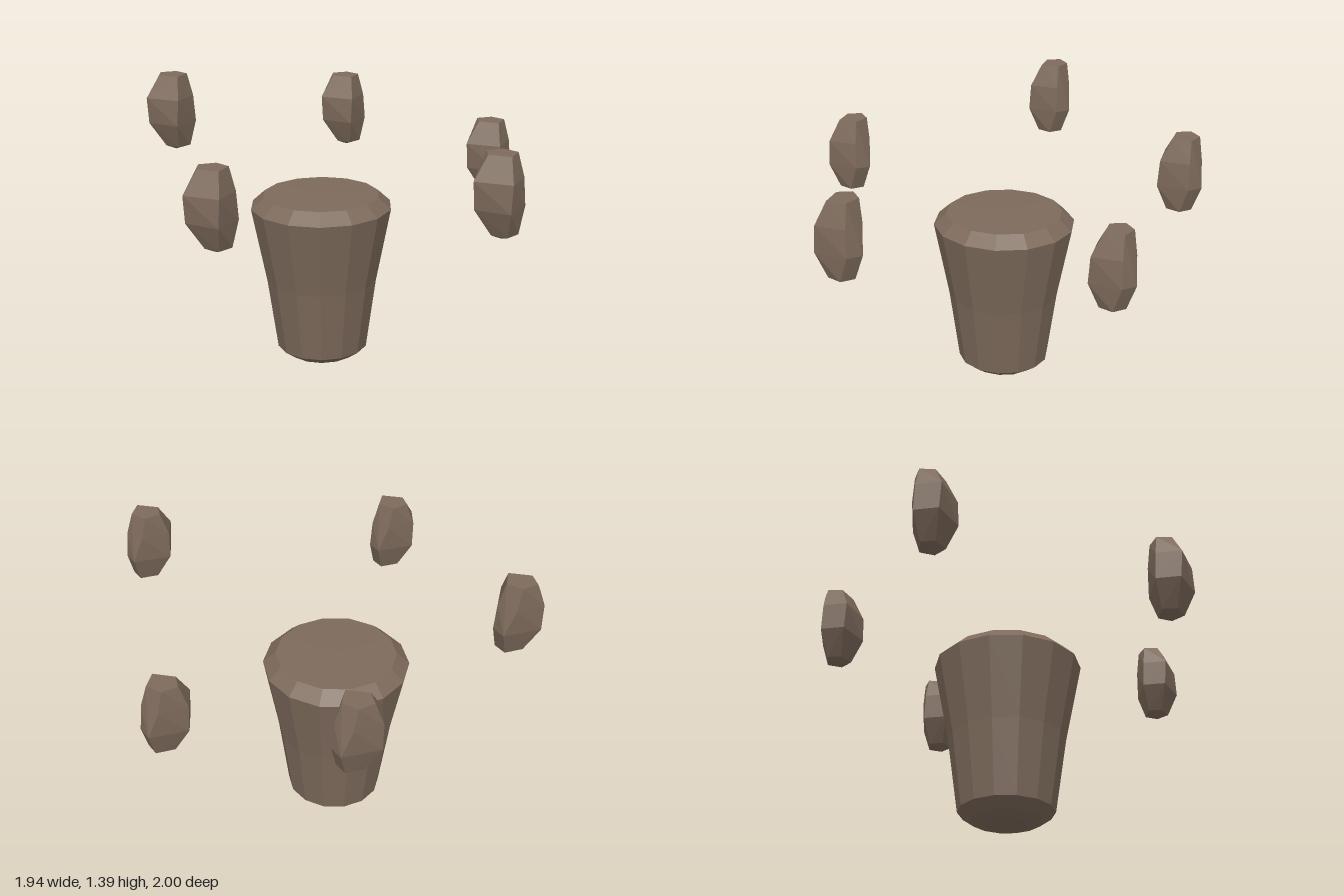
import * as THREE from 'three';
import { ConvexGeometry } from 'three/addons/geometries/ConvexGeometry.js';

const stone = new THREE.MeshStandardMaterial({ color: 0x7d6a5b, flatShading: true });

// Tapered, chamfered rock column with a faceted side
function makePedestal() {
  const profile = [
    [0, 0], [0.1, 0.003], [0.17, 0.018], [0.228, 0.06], [0.278, 0.42],
    [0.352, 0.8], [0.29, 0.857], [0, 0.862],
  ].map(([r, y]) => new THREE.Vector2(r, y));
  const mesh = new THREE.Mesh(new THREE.LatheGeometry(profile, 14), stone);
  mesh.name = 'pedestal';
  mesh.position.set(-0.1, 0, -0.178);
  return mesh;
}

// Five-sided stone: hull of four rings, each a height and its [x, z] corners
function makeStoneGeometry() {
  const rings = [
    [0.19, [[-0.05, -0.02], [-0.02, -0.085], [0.06, -0.075], [0.09, 0], [0.02, 0.06]]],
    [0.08, [[-0.122, -0.015], [-0.05, -0.112], [0.085, -0.075], [0.112, 0.02], [0, 0.112]]],
    [-0.05, [[-0.113, -0.02], [-0.045, -0.115], [0.127, -0.05], [0.12, 0.025], [-0.01, 0.115]]],
    [-0.172, [[-0.035, 0], [0, -0.06], [0.085, -0.03], [0.08, 0.04], [0.01, 0.065]]],
  ];
  const points = rings.flatMap(([y, ring]) => ring.map(([x, z]) => new THREE.Vector3(x, y, z)));
  points.push(new THREE.Vector3(0.015, -0.193, 0.005));
  return new ConvexGeometry(points);
}

export function createModel() {
  const model = new THREE.Group();
  model.add(makePedestal());

  // Stones floating in a ring round the pedestal
  const geometry = makeStoneGeometry();
  const centres = [
    [-0.85, 1.023, 0.305], [-0.652, 1.197, -0.79], [0.36, 1.078, -0.885],
    [0.843, 0.937, -0.15], [0.263, 1.095, 0.88],
  ];
  centres.forEach((centre, i) => {
    const mesh = new THREE.Mesh(geometry, stone);
    mesh.name = `floatingStone${i + 1}`;
    mesh.position.set(...centre);
    model.add(mesh);
  });
  return model;
}
